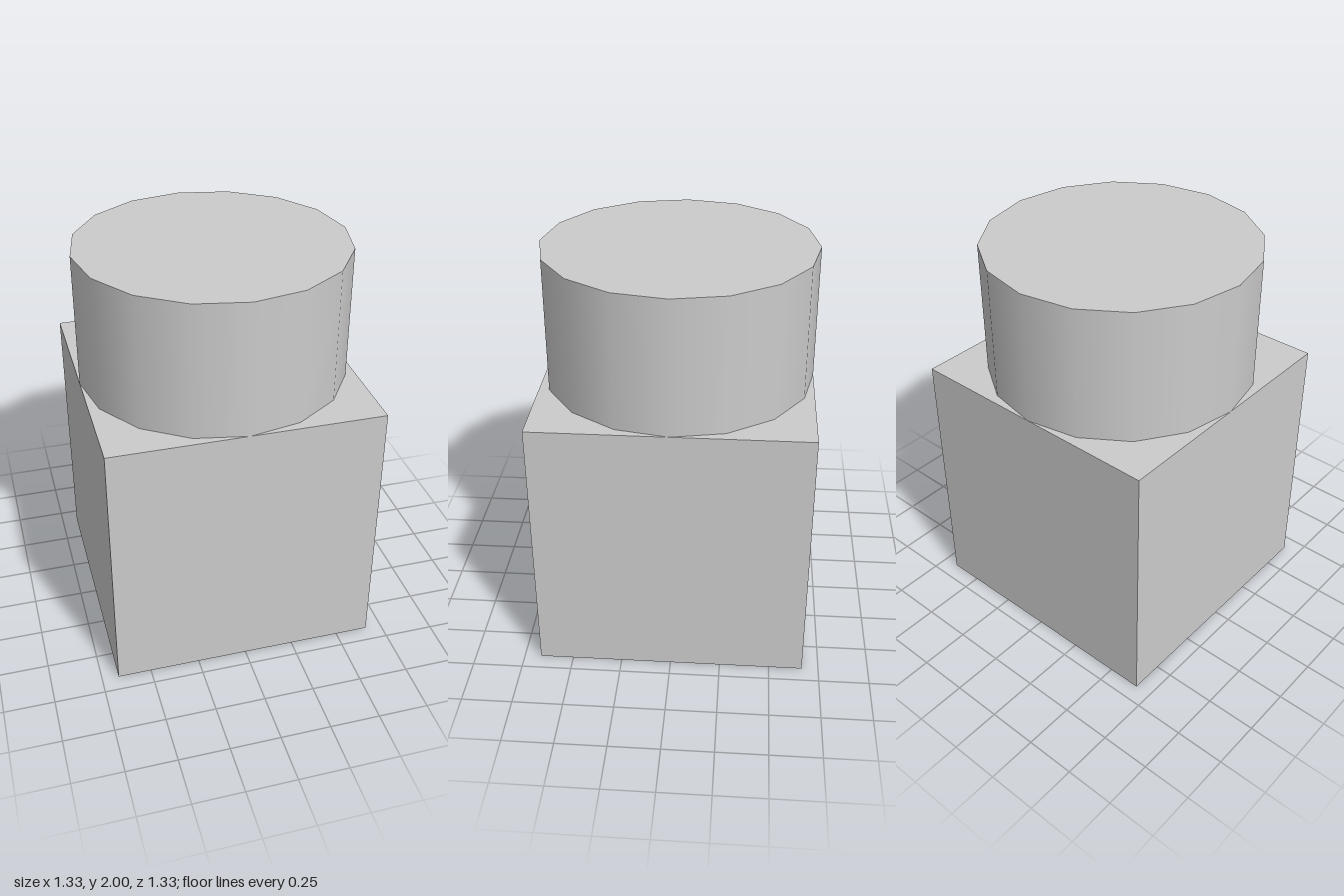
import * as THREE from 'three';

const HALF = 2 / 3; // half the cube's width, also the cylinder's radius and height

export function createModel() {
  const model = new THREE.Group();
  const material = new THREE.MeshStandardMaterial({ color: 0xcccccc });

  const addPart = (name, geometry, y) => {
    const mesh = new THREE.Mesh(geometry, material);
    mesh.name = name;
    mesh.position.y = y;
    model.add(mesh);
  };

  // Cube standing on the ground
  addPart('baseCube', new THREE.BoxGeometry(2 * HALF, 2 * HALF, 2 * HALF), HALF);

  // Smooth 16-sided cylinder resting on the cube
  addPart('topCylinder', new THREE.CylinderGeometry(HALF, HALF, HALF, 16), 2.5 * HALF);

  return model;
}
